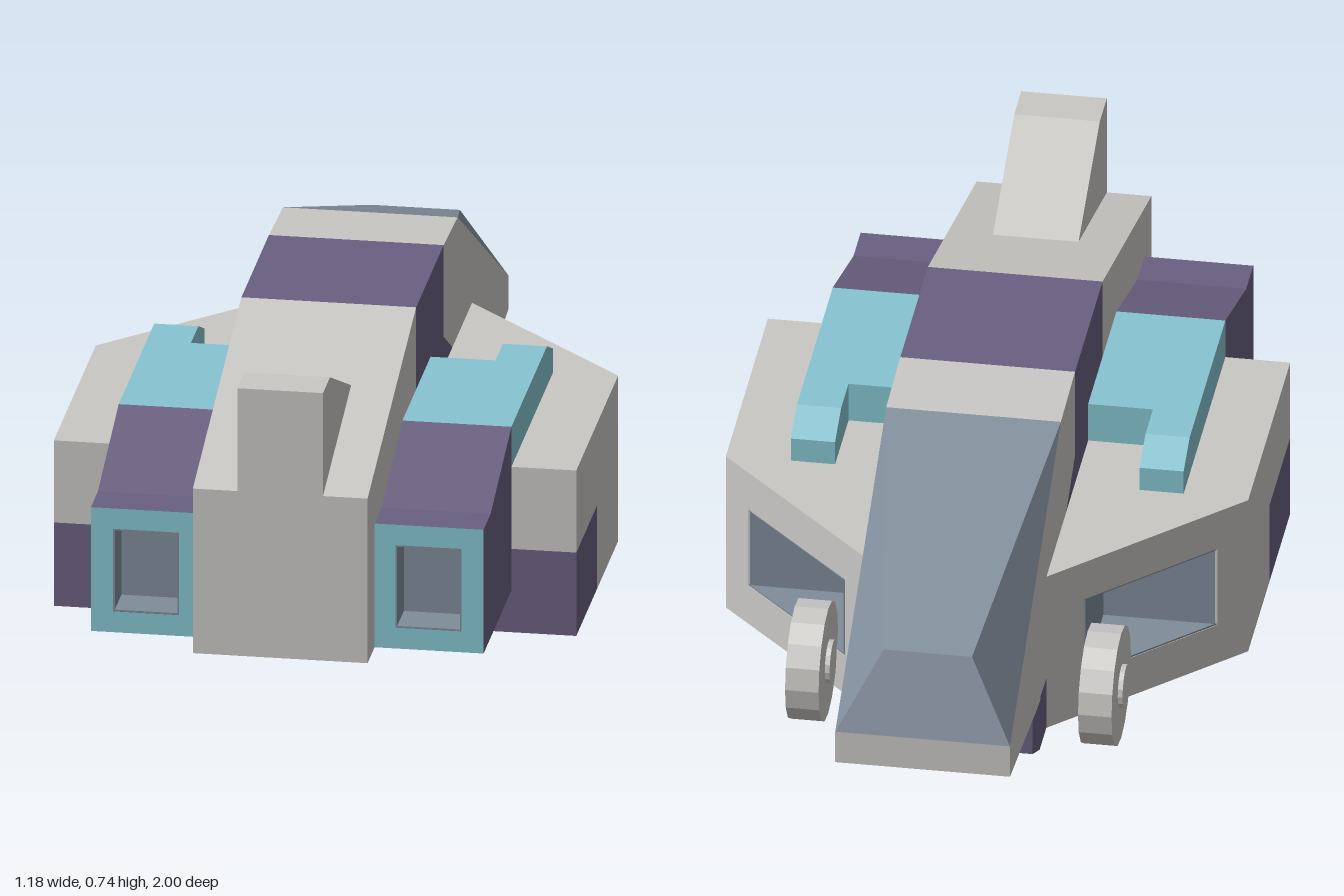
import * as THREE from 'three';
import { ConvexGeometry } from 'three/addons/geometries/ConvexGeometry.js';

const material = (name, color) => {
  const m = new THREE.MeshStandardMaterial({ color });
  m.name = name;
  return m;
};

export function createModel() {
  const grey = material('hull grey', 0xcac8c5);
  const purple = material('dark purple', 0x6a6081);
  const teal = material('pale teal', 0x87c5d1);
  const slate = material('slate blue', 0x808c9a);
  const model = new THREE.Group();
  model.name = 'shuttle';

  const add = (name, geometry, mat, parent = model) => {
    const mesh = new THREE.Mesh(geometry, mat);
    mesh.name = name;
    parent.add(mesh);
    return mesh;
  };
  const shapeOf = (pts) => new THREE.Shape(pts.map(([a, b]) => new THREE.Vector2(a, b)));
  const extrude = (shape, depth) =>
    new THREE.ExtrudeGeometry(shape, { depth, bevelEnabled: false });
  // side outline of [z, y] points, swept across x from xa to xb
  const profile = (pts, xa, xb) =>
    extrude(shapeOf(pts.map(([z, y]) => [-z, y])), Math.abs(xb - xa))
      .rotateY(Math.PI / 2).translate(Math.min(xa, xb), 0, 0);
  // plan outline of [x, z] points, swept up from y0 to y1
  const plan = (pts, s, y0, y1) =>
    extrude(shapeOf(pts.map(([x, z]) => [s * x, -z])), y1 - y0)
      .rotateX(-Math.PI / 2).translate(0, y0, 0);
  const box = (s, x0, x1, y0, y1, z0, z1) =>
    new THREE.BoxGeometry(x1 - x0, y1 - y0, z1 - z0)
      .translate(s * (x0 + x1) / 2, (y0 + y1) / 2, (z0 + z1) / 2);

  // fuselage in three bands
  const W = 0.198;
  add('fuselageTail', profile([[1, 0.1], [1, 0.495], [0.31, 0.69], [0.31, 0.1]], -W, W), grey);
  add('fuselageBand', profile([[0.31, 0.1], [0.31, 0.69], [-0.08, 0.69], [-0.08, 0.47],
    [-0.2, 0.4], [-0.2, 0.1]], -W, W), purple);
  add('fuselageNose', profile([[-0.08, 0.69], [-0.28, 0.68], [-1, 0.265], [-1, 0.185],
    [-0.62, 0.13], [-0.2, 0.1], [-0.2, 0.4], [-0.08, 0.47]], -W, W), grey);
  add('keel', profile([[0.505, 0.1], [0.505, 0.001], [-0.58, 0.001], [-0.68, 0.05],
    [-0.68, 0.14], [-0.48, 0.13]], -W, W), purple);
  add('tailFin', profile([[1, 0.49], [1, 0.742], [0.9, 0.742], [0.6, 0.608]], -0.097, 0.097), grey);

  // faceted windscreen
  const screen = [];
  for (const s of [-1, 1]) {
    screen.push(new THREE.Vector3(s * W, 0.68, -0.28), new THREE.Vector3(s * 0.1, 0.445, -0.925),
      new THREE.Vector3(s * W, 0.265, -1));
  }
  add('windscreen', new ConvexGeometry(screen), slate);

  for (const s of [1, -1]) {
    const side = new THREE.Group();
    side.name = s > 0 ? 'leftSide' : 'rightSide';
    model.add(side);

    // side pod in layers, the middle ones notched for the window
    const outline = (zBack, notched) => [[0.198, zBack], [0.592, zBack], [0.592, -0.09],
      ...(notched ? [[0.532, -0.15], [0.27, -0.15], [0.27, -0.412]] : []), [0.198, -0.484]];
    const layers = [[0, 0.1, 0.21, false], [0.1, 0.2, 0.21, true],
      [0.2, 0.3, 0.505, true], [0.3, 0.397, 0.505, false]];
    for (const [y0, y1, zBack, notched] of layers) {
      add('podLayer', plan(outline(zBack, notched), s, y0, y1), grey, side);
    }
    add('podRearPanel', box(s, 0.198, 0.592, 0, 0.2, 0.21, 0.505),
      [purple, purple, grey, grey, purple, purple], side);

    // window recess lining
    const recess = [[0.53, -0.15], [0.27, -0.15], [0.27, -0.41]];
    add('windowFloor', plan(recess, s, 0.1, 0.104), slate, side);
    add('windowCeiling', plan(recess, s, 0.296, 0.3), slate, side);
    add('windowInnerWall', box(s, 0.27, 0.274, 0.1, 0.3, -0.407, -0.15), slate, side);
    add('windowRearWall', box(s, 0.27, 0.527, 0.1, 0.3, -0.154, -0.15), slate, side);

    // engine housing and nozzle rim
    add('engineHousing', profile([[0.8, 0.1], [0.8, 0.397], [0.505, 0.493], [0.505, 0.1]],
      s * 0.198, s * 0.445), purple, side);
    const rim = shapeOf([[0.198, 0.1], [0.445, 0.1], [0.445, 0.397], [0.198, 0.397]]
      .map(([x, y]) => [s * x, y]));
    rim.holes.push(new THREE.Path([[0.245, 0.15], [0.395, 0.15], [0.395, 0.348], [0.245, 0.348]]
      .map(([x, y]) => new THREE.Vector2(s * x, y))));
    add('nozzleRim', extrude(rim, 0.1).translate(0, 0, 0.8), [teal, purple], side);
    add('nozzleBack', box(s, 0.245, 0.395, 0.15, 0.348, 0.8, 0.805), slate, side);
    for (const x of [0.245, 0.391]) {
      add('nozzleWall', box(s, x, x + 0.004, 0.15, 0.348, 0.8, 0.899), slate, side);
    }
    for (const y of [0.15, 0.344]) {
      add('nozzleWall', box(s, 0.245, 0.395, y, y + 0.004, 0.8, 0.899), slate, side);
    }

    // engine cover with a forward arm
    add('engineCover', box(s, 0.198, 0.445, 0.39, 0.493, 0.105, 0.505), teal, side);
    add('engineCoverArm', profile([[0.105, 0.39], [0.105, 0.493], [0, 0.493], [-0.085, 0.455],
      [-0.085, 0.39]], s * 0.345, s * 0.445), teal, side);

    // wheels
    for (const z of [0.5, -0.5]) {
      const wheel = new THREE.Group();
      wheel.name = z > 0 ? 'rearWheel' : 'frontWheel';
      wheel.position.set(s * 0.332, 0.137, z);
      side.add(wheel);
      for (const [name, r, w] of [['tyre', 0.137, 0.076], ['hub', 0.05, 0.098]]) {
        const g = new THREE.CylinderGeometry(r, r, w, 16).rotateZ(Math.PI / 2).toNonIndexed();
        g.computeVertexNormals();
        add(name, g, grey, wheel);
      }
    }
  }
  return model;
}
